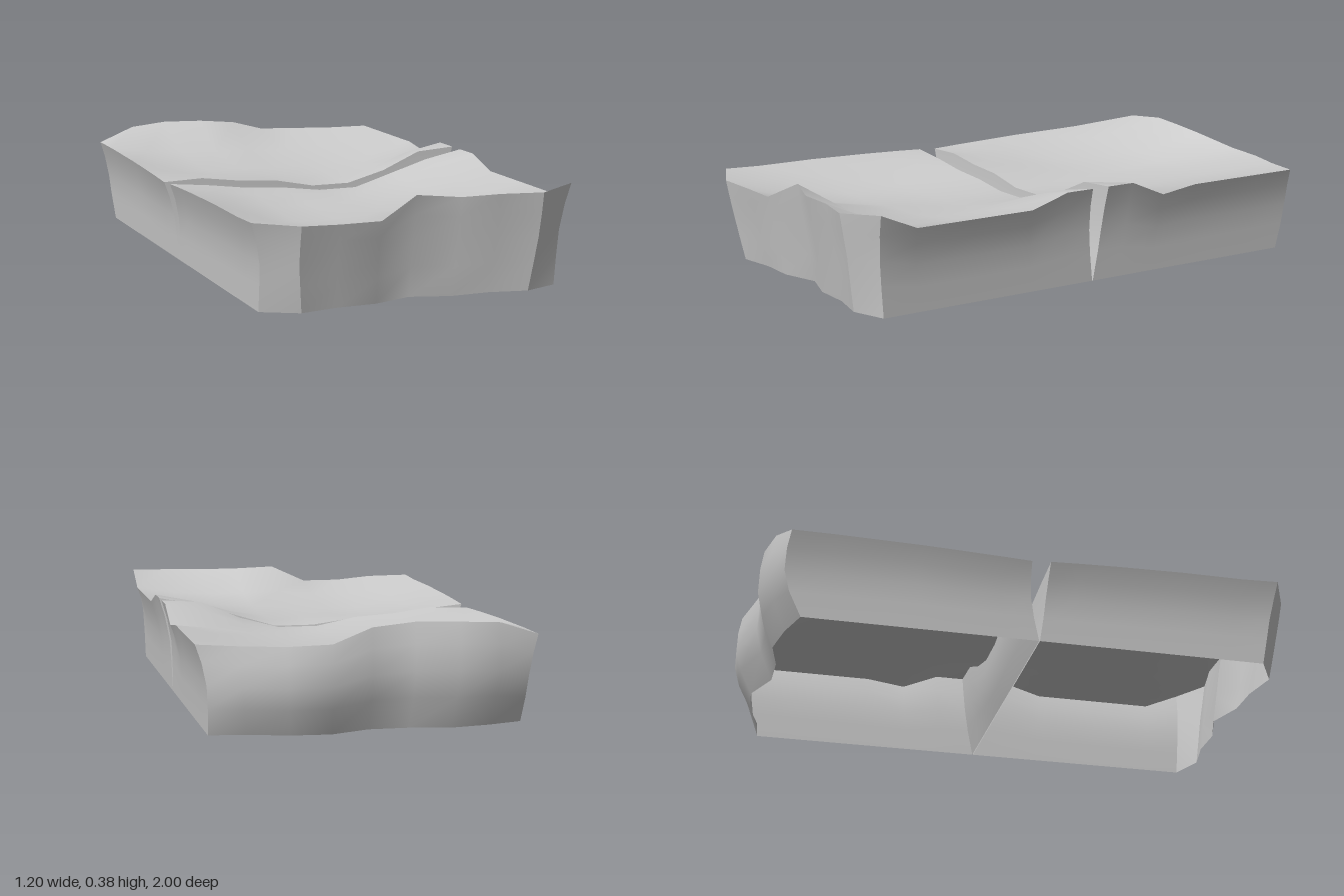
import * as THREE from 'three';

const COLS = [-0.6, -0.45, -0.3, -0.15, 0, 0.15, 0.3, 0.45, 0.6];
const LEVELS = [1, 0.8, 0.55, 0.3, 0];            // wall heights, rim to foot
const SIDE_TAPER = [1, 0.965, 0.938, 0.93, 0.925];  // sideways taper of the corner columns
const INNER_TAPER = [1, 1, 0.995, 0.975, 0.95];     // and of the columns between them
const material = new THREE.MeshStandardMaterial({ color: 0xcccccc, side: THREE.DoubleSide });

// Smooth surface through equal rows of points
function sheet(name, rows) {
  const w = rows[0].length;
  const index = [];
  for (let i = 0; i < rows.length - 1; i++) {
    for (let j = 0; j < w - 1; j++) {
      const a = i * w + j, b = a + 1, c = a + w, d = c + 1;
      index.push(a, c, b, b, c, d);
    }
  }
  const geometry = new THREE.BufferGeometry().setFromPoints(rows.flat());
  geometry.setIndex(index);
  geometry.computeVertexNormals();
  const mesh = new THREE.Mesh(geometry, material);
  mesh.name = name;
  return mesh;
}

// Hollow slab: sagging top and four leaning walls, open underneath.
// rows run from back to front, each with z (number or one per column) and heights.
// backLean / frontLean shift each wall level along z; outer names the weathered end.
function slab(name, { rows, backLean, frontLean, outer }) {
  const last = rows.length - 1, end = COLS.length - 1;
  const point = (i, j, k) => {
    const { z, y } = rows[i];
    const isCorner = j === 0 || j === end;
    const soften = j === end ? 0.5 : 1;           // the left corner stands more upright
    const back = backLean[k] * (outer === 'back' ? soften : 1);
    const front = frontLean[k] * (outer === 'front' ? soften : 1);
    return new THREE.Vector3(
      COLS[j] * (isCorner ? SIDE_TAPER : INNER_TAPER)[k],
      y[j] * LEVELS[k],
      (Array.isArray(z) ? z[j] : z) + THREE.MathUtils.lerp(back, front, i / last));
  };
  const wall = (label, path) =>
    sheet(label, LEVELS.map((_, k) => path.map(([i, j]) => point(i, j, k))));
  const across = COLS.map((_, j) => j);
  const along = rows.map((_, i) => i);

  const group = new THREE.Group();
  group.name = name;
  group.add(sheet('topSurface', rows.map((_, i) => across.map(j => point(i, j, 0)))));
  group.add(wall('rightWall', along.map(i => [i, 0])));
  group.add(wall('leftWall', along.map(i => [last - i, end])));
  group.add(wall('backWall', across.map(j => [0, end - j])));
  // The weathered front breaks sharply near its corners
  const spans = outer === 'front' ? [[0, 1], [1, 7], [7, 8]] : [[0, 8]];
  for (const [from, to] of spans) {
    group.add(wall('frontWall', across.slice(from, to + 1).map(j => [last, j])));
  }
  return group;
}

export function createModel() {
  const model = new THREE.Group();
  model.name = 'crackedStoneSlab';

  // Front half, ending in a ragged front edge
  model.add(slab('frontSlab', {
    outer: 'front',
    backLean: [0, -0.005, -0.012, -0.02, -0.033],
    frontLean: [0, -0.012, -0.028, -0.042, -0.06],
    rows: [
      { z: 0.05, y: [0.3, 0.285, 0.265, 0.255, 0.235, 0.235, 0.28, 0.325, 0.355] },
      { z: 0.16, y: [0.305, 0.28, 0.255, 0.25, 0.24, 0.24, 0.28, 0.325, 0.355] },
      { z: 0.31, y: [0.31, 0.27, 0.24, 0.235, 0.235, 0.24, 0.265, 0.29, 0.31] },
      { z: 0.55, y: [0.315, 0.265, 0.23, 0.23, 0.24, 0.245, 0.26, 0.28, 0.31] },
      { z: 0.78, y: [0.315, 0.28, 0.26, 0.26, 0.28, 0.275, 0.275, 0.285, 0.31] },
      { z: [0.92, 0.99, 0.965, 0.965, 0.92, 0.965, 0.965, 0.995, 0.92],
        y: [0.32, 0.31, 0.3, 0.3, 0.37, 0.36, 0.36, 0.36, 0.37] },
    ],
  }));

  // Rear half, with a bulging back wall
  model.add(slab('rearSlab', {
    outer: 'back',
    backLean: [0, -0.012, -0.015, 0.005, 0.05],
    frontLean: [0, 0, 0.004, 0.015, 0.034],
    rows: [
      { z: [-0.89, -0.93, -0.955, -0.925, -0.925, -0.985, -0.975, -0.93, -0.89],
        y: [0.315, 0.365, 0.375, 0.375, 0.36, 0.315, 0.31, 0.31, 0.315] },
      { z: -0.73, y: [0.315, 0.29, 0.28, 0.275, 0.265, 0.26, 0.265, 0.285, 0.315] },
      { z: -0.42, y: [0.31, 0.275, 0.255, 0.25, 0.245, 0.245, 0.255, 0.28, 0.315] },
      { z: -0.27, y: [0.305, 0.28, 0.26, 0.255, 0.24, 0.24, 0.255, 0.28, 0.295] },
      { z: -0.13, y: [0.3, 0.285, 0.27, 0.26, 0.24, 0.24, 0.27, 0.325, 0.355] },
      { z: -0.02, y: [0.295, 0.3, 0.28, 0.27, 0.24, 0.24, 0.28, 0.345, 0.355] },
    ],
  }));

  return model;
}
